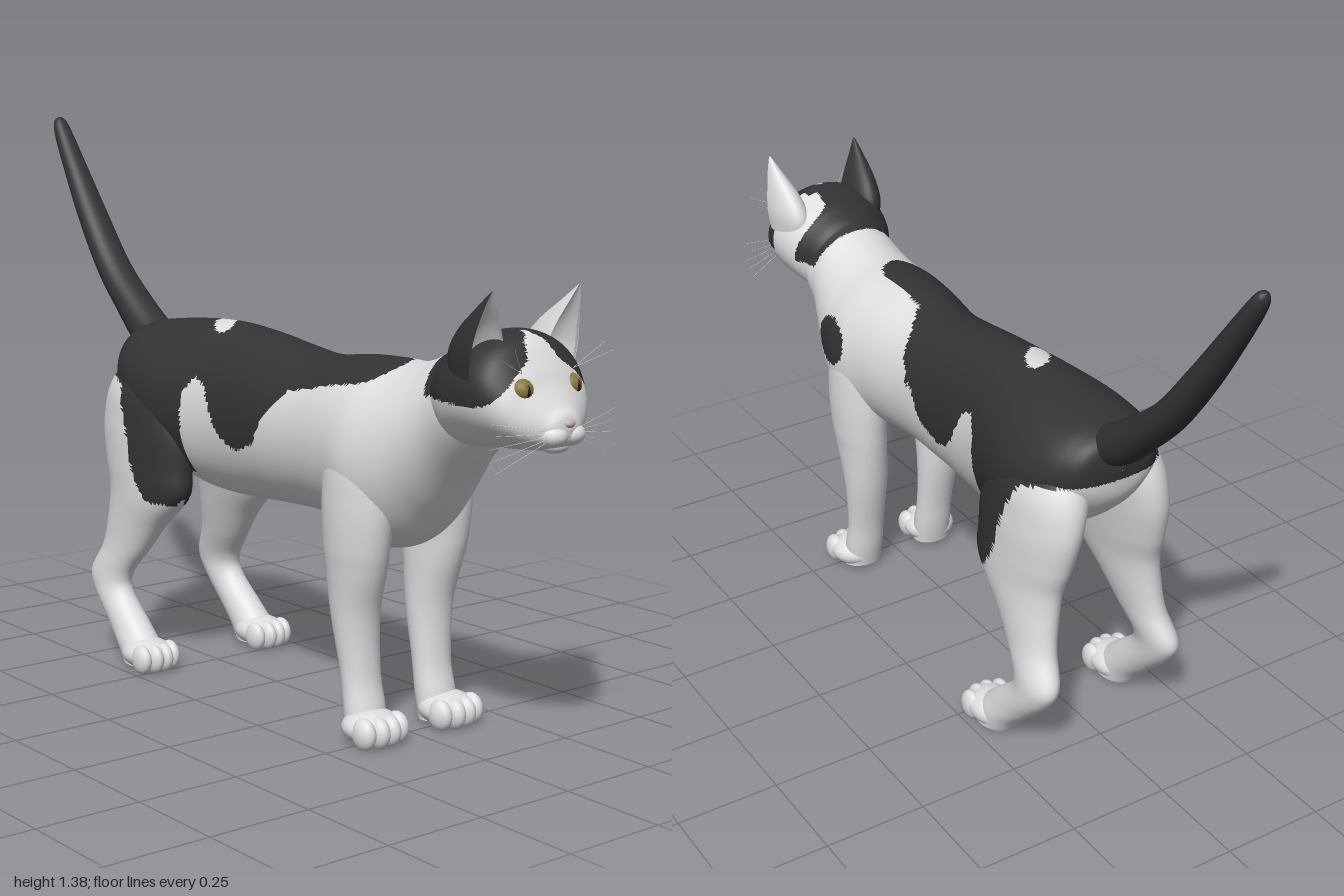
import * as THREE from 'three';

const mat = (name, color) => Object.assign(new THREE.MeshStandardMaterial({ color }), { name });

// Piecewise linear table lookup; the table is sorted by its first column
function ramp(table, t) {
  if (t <= table[0][0]) return table[0][1];
  for (let i = 1; i < table.length; i++) {
    const [a, va] = table[i - 1], [b, vb] = table[i];
    if (t <= b) return va + (vb - va) * (t - a) / (b - a);
  }
  return table[table.length - 1][1];
}

// Lower edge of the dark saddle, as height along z
const SADDLE = [[-0.54, 0.74], [-0.41, 0.72], [-0.365, 0.615], [-0.33, 0.5], [-0.285, 0.435],
  [-0.215, 0.43], [-0.19, 0.46], [-0.178, 0.72], [-0.145, 0.765], [-0.105, 0.745], [-0.06, 0.65],
  [-0.02, 0.612], [0.02, 0.603], [0.09, 0.63], [0.13, 0.7], [0.19, 0.755], [0.22, 0.82], [0.235, 0.9]];
// Lower edge of the dark mask on the forehead, as height along |x|
const MASK = [[0, 0.965], [0.03, 0.945], [0.045, 0.908], [0.085, 0.88], [0.15, 0.815]];

const inEllipse = (a, b, ca, cb, ra, rb) => ((a - ca) / ra) ** 2 + ((b - cb) / rb) ** 2 < 1;

// True where the coat is dark
function isDark(x, y, z) {
  if (z > 0.6) {
    if (z > 0.8) return y > ramp(MASK, Math.abs(x)) && !(x > 0.06 && z < 0.825);
    if (x > 0.035 && inEllipse(x, z, 0.1, 0.775, 0.075, 0.055)) return false;
    return y > 0.815 && z > 0.64 + (0.92 - y) * 0.25;
  }
  if (x > 0 && inEllipse(z, y, 0.49, 0.69, 0.07, 0.06)) return true;
  if (z > 0.15 && y > 0.7 && (z < 0.42 ? x > -0.12 && x < 0.035 + Math.max(0, 0.27 - z)
    : inEllipse(x, z, -0.042, 0.42, 0.078, 0.09))) return true;
  const u = x + 0.02, w = z + 0.18;
  if (y > 0.8 && inEllipse(u + w * 0.6, w, 0, 0, 0.035, 0.055)) return false;
  if (y < 0.72 && Math.abs(x) < 0.11) return false;
  return y > ramp(SADDLE, z);
}

// Smooth skin over elliptical rings. Nodes: [x, y, z, radius along x, radius along v].
// front scales the half of each ring on the +v side; pick(x, y, z, angle) chooses the material.
function loft(name, nodes, v, rows, cols, materials, pick, front = 1) {
  const curve = (f) => new THREE.CatmullRomCurve3(nodes.map(f), false, 'catmullrom', 0.5);
  const path = curve((n) => new THREE.Vector3(n[0], n[1], n[2]));
  const size = curve((n) => new THREE.Vector3(n[3], n[4], 0));
  const pos = [], lists = materials.map(() => []);
  for (let i = 0; i <= rows; i++) {
    const c = path.getPoint(i / rows), r = size.getPoint(i / rows);
    for (let j = 0; j < cols; j++) {
      const a = j / cols * Math.PI * 2, s = Math.sin(a);
      const k = Math.max(r.y, 0.0005) * (s > 0 ? s * front : s);
      pos.push(c.x + Math.max(r.x, 0.0005) * Math.cos(a), Math.max(0, c.y + v[1] * k), c.z + v[2] * k);
    }
  }
  const put = (j, ...t) => {
    const m = [0, 1, 2].map((k) => (pos[t[0] * 3 + k] + pos[t[1] * 3 + k] + pos[t[2] * 3 + k]) / 3);
    lists[pick ? pick(...m, (j + 0.5) / cols * Math.PI * 2) : 0].push(...t);
  };
  for (let i = 0; i < rows; i++) for (let j = 0; j < cols; j++) {
    const a = i * cols + j, b = i * cols + (j + 1) % cols;
    put(j, a, b, a + cols);
    put(j, b, b + cols, a + cols);
  }
  const geo = new THREE.BufferGeometry();
  geo.setAttribute('position', new THREE.Float32BufferAttribute(pos, 3));
  geo.setIndex(lists.flat());
  let start = 0;
  lists.forEach((l, i) => { if (l.length) geo.addGroup(start, l.length, i); start += l.length; });
  geo.computeVertexNormals();
  const mesh = new THREE.Mesh(geo, materials);
  mesh.name = name;
  return mesh;
}

// Ellipsoid that never sinks below the ground
function blob(name, material, [x, y, z], [rx, ry, rz]) {
  const geo = new THREE.SphereGeometry(1, 28, 20).scale(rx, ry, rz).translate(x, y, z);
  const p = geo.attributes.position;
  for (let i = 0; i < p.count; i++) p.setY(i, Math.max(0, p.getY(i)));
  const mesh = new THREE.Mesh(geo, material);
  mesh.name = name;
  return mesh;
}

// Thin straight hair between two points
function hair(material, a, b) {
  const A = new THREE.Vector3(...a), d = new THREE.Vector3(...b).sub(A);
  const mesh = new THREE.Mesh(new THREE.CylinderGeometry(0.0004, 0.0007, d.length(), 5), material);
  mesh.position.copy(A).addScaledVector(d, 0.5);
  mesh.quaternion.setFromUnitVectors(new THREE.Vector3(0, 1, 0), d.normalize());
  mesh.name = 'whisker';
  return mesh;
}

export function createModel() {
  const cat = new THREE.Group();
  cat.name = 'cat';
  const white = mat('white fur', 0xdedede), dark = mat('dark fur', 0x333333);
  const iris = mat('eye olive', 0x85753a), black = mat('pupil black', 0x141414);
  const nosePink = mat('nose', 0xbfb0ac);
  const fur = [white, dark];
  const coat = (x, y, z) => (isDark(x, y, z) ? 1 : 0);
  const Y = [0, 1, 0], Z = [0, 0, 1];

  // Trunk and head, given as [z, underside, top, half width] from back to front
  const along = ([z, lo, hi, w]) => [0, (lo + hi) / 2, z, w, (hi - lo) / 2];
  cat.add(loft('body', [
    [-0.55, 0.765, 0.767, 0.001], [-0.535, 0.69, 0.835, 0.09], [-0.49, 0.63, 0.86, 0.14],
    [-0.42, 0.57, 0.872, 0.175], [-0.32, 0.51, 0.882, 0.187], [-0.22, 0.47, 0.888, 0.172],
    [-0.12, 0.46, 0.887, 0.153], [0, 0.465, 0.875, 0.146], [0.1, 0.47, 0.86, 0.147],
    [0.22, 0.473, 0.847, 0.15], [0.35, 0.46, 0.86, 0.167], [0.45, 0.43, 0.863, 0.184],
    [0.53, 0.452, 0.863, 0.173], [0.6, 0.53, 0.88, 0.15], [0.66, 0.61, 0.907, 0.13],
    [0.75, 0.72, 0.93, 0.11], [0.78, 0.82, 0.822, 0.001]].map(along), Y, 200, 110, fur, coat));
  cat.add(loft('head', [
    [0.64, 0.8, 0.802, 0.001], [0.66, 0.72, 0.9, 0.095], [0.71, 0.7, 0.937, 0.133],
    [0.76, 0.705, 0.955, 0.151], [0.82, 0.71, 0.965, 0.157], [0.87, 0.714, 0.95, 0.148],
    [0.91, 0.718, 0.9, 0.124], [0.935, 0.722, 0.855, 0.096], [0.96, 0.728, 0.82, 0.06],
    [0.978, 0.745, 0.8, 0.034], [0.984, 0.772, 0.774, 0.001]].map(along), Y, 120, 100, fur, coat));

  // Tail
  cat.add(loft('tail', [
    [0, 0.79, -0.44, 0.055, 0.05], [0, 0.825, -0.53, 0.056, 0.052], [0, 0.9, -0.625, 0.051, 0.044],
    [0, 0.985, -0.715, 0.048, 0.038], [0, 1.11, -0.81, 0.043, 0.034], [0, 1.235, -0.895, 0.034, 0.028],
    [0, 1.335, -0.96, 0.025, 0.021], [0, 1.368, -0.98, 0.016, 0.014], [0, 1.377, -0.987, 0.001, 0.001],
  ], [0, -0.69, -0.73], 60, 28, [dark]));

  // Nose and mouth
  cat.add(blob('nose', nosePink, [0, 0.783, 0.978], [0.015, 0.01, 0.012]));
  cat.add(blob('chin', white, [0, 0.733, 0.94], [0.034, 0.018, 0.028]));

  for (const s of [1, -1]) {
    const side = s > 0 ? 'left' : 'right';
    const mirror = (nodes) => nodes.map(([x, ...rest]) => [x * s, ...rest]);

    // Front leg
    cat.add(loft(side + 'FrontLeg', mirror([
      [0.09, 0.74, 0.45, 0.03, 0.05], [0.11, 0.66, 0.45, 0.065, 0.095], [0.117, 0.55, 0.45, 0.07, 0.1],
      [0.12, 0.45, 0.447, 0.065, 0.09], [0.117, 0.39, 0.443, 0.062, 0.08], [0.112, 0.28, 0.436, 0.057, 0.056],
      [0.108, 0.15, 0.45, 0.05, 0.041], [0.108, 0.07, 0.465, 0.052, 0.043], [0.11, 0.01, 0.475, 0.052, 0.04],
    ]), Z, 60, 36, [white]));

    // Hind leg
    cat.add(loft(side + 'HindLeg', mirror([
      [0.07, 0.82, -0.4, 0.03, 0.05], [0.1, 0.72, -0.385, 0.082, 0.14], [0.119, 0.62, -0.372, 0.083, 0.172],
      [0.13, 0.52, -0.36, 0.076, 0.165], [0.138, 0.445, -0.352, 0.068, 0.15], [0.148, 0.36, -0.395, 0.056, 0.107],
      [0.158, 0.29, -0.43, 0.047, 0.084], [0.172, 0.22, -0.475, 0.043, 0.074], [0.176, 0.17, -0.462, 0.042, 0.067],
      [0.178, 0.1, -0.39, 0.045, 0.072], [0.18, 0.05, -0.34, 0.05, 0.07], [0.18, 0.01, -0.32, 0.05, 0.06],
    ]), Z, 110, 64, fur, coat));

    // Paws with toes
    for (const [name, x, z, w, d] of [['FrontPaw', 0.115, 0.497, 0.07, 0.066], ['HindPaw', 0.18, -0.305, 0.062, 0.075]]) {
      const paw = new THREE.Group();
      paw.name = side + name;
      paw.add(blob('pad', white, [s * x, 0.037, z], [w, 0.04, d]));
      for (const k of [-1.5, -0.5, 0.5, 1.5]) {
        paw.add(blob('toe', white, [s * x + k * w * 0.46, 0.033, z + d * (0.72 - Math.abs(k) * 0.16)],
          [w * 0.33, 0.037, 0.034]));
      }
      cat.add(paw);
    }

    // Cupped ear, hollow towards the front
    cat.add(loft(side + 'Ear', mirror([
      [0.127, 1.056, 0.88, 0.002, 0.002], [0.123, 1.02, 0.87, 0.017, 0.036], [0.115, 0.97, 0.857, 0.036, 0.083],
      [0.109, 0.92, 0.848, 0.048, 0.108], [0.105, 0.87, 0.84, 0.048, 0.1],
    ]), Z, 24, 36, fur, (x, y, z, a) => (s < 0 && a > Math.PI ? 1 : 0), -0.45));

    // Eye with an upright pupil
    cat.add(blob(side + 'Eye', iris, [s * 0.071, 0.85, 0.907], [0.027, 0.026, 0.029]));
    cat.add(blob(side + 'Pupil', black, [s * 0.073, 0.85, 0.931], [0.005, 0.013, 0.007]));

    // Muzzle pad and whiskers
    cat.add(blob(side + 'MuzzlePad', white, [s * 0.025, 0.757, 0.954], [0.034, 0.026, 0.035]));
    for (let i = 0; i < 5; i++) {
      cat.add(hair(white, [s * 0.045, 0.748 + i * 0.005, 0.965], [s * (0.17 + 0.01 * (i % 3)), 0.69 + i * 0.026, 0.94]));
    }
    for (const i of [0, 1]) cat.add(hair(white, [s * 0.075, 0.885, 0.915], [s * (0.13 + i * 0.03), 0.94 - i * 0.02, 0.95]));
  }
  return cat;
}
